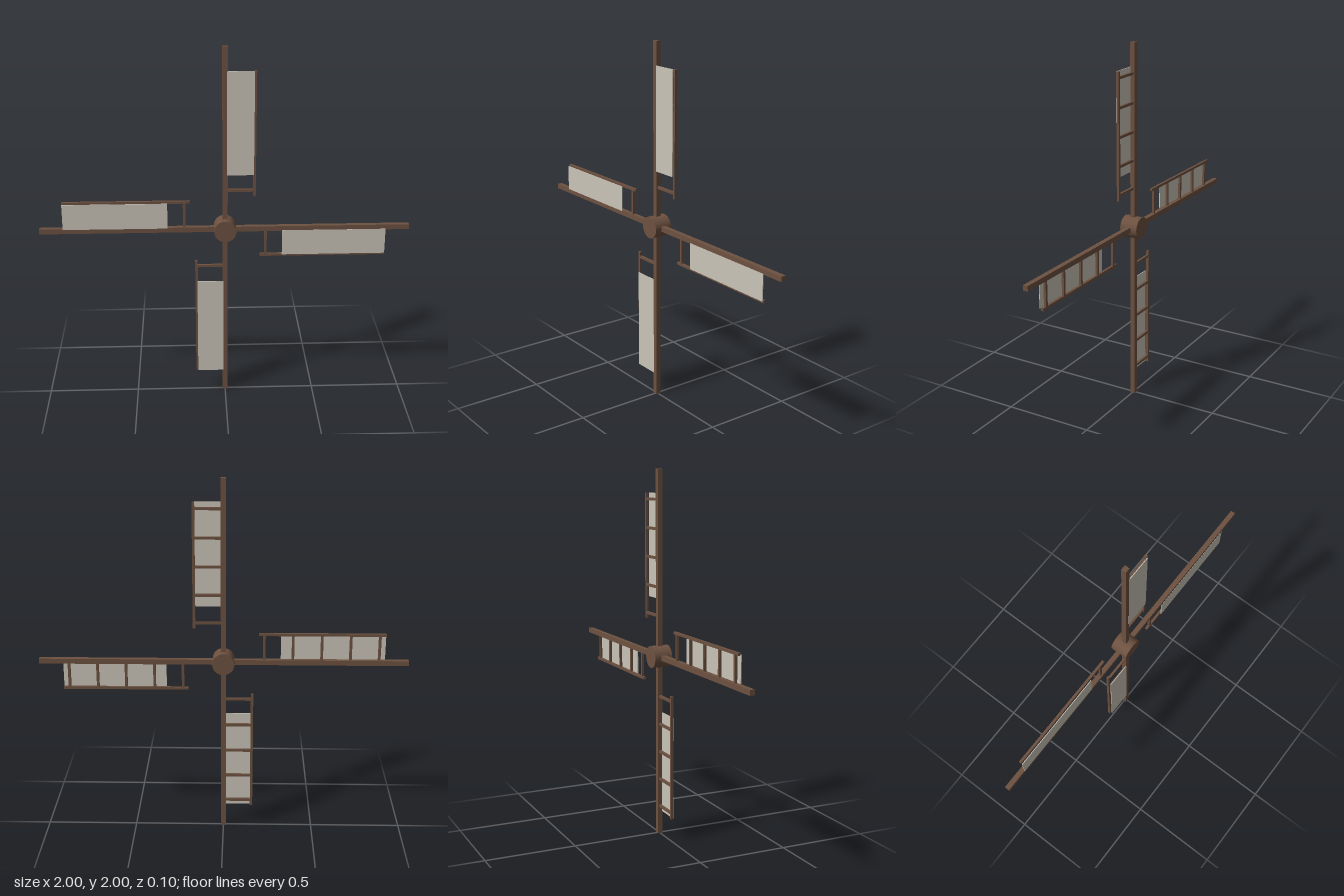
import * as THREE from 'three';

const HUB_Y = 1;

export function createModel() {
  const wood = new THREE.MeshStandardMaterial({ color: 0x6d5140 });
  wood.name = 'brownWood';
  const canvas = new THREE.MeshStandardMaterial({ color: 0xcac4b9 });
  canvas.name = 'paleCanvas';

  const model = new THREE.Group();
  model.name = 'windmillSails';

  // Box given by its extents in x and y, centred on depth z
  const bar = (name, material, x0, x1, y0, y1, depth, z = 0) => {
    const mesh = new THREE.Mesh(new THREE.BoxGeometry(x1 - x0, y1 - y0, depth), material);
    mesh.position.set((x0 + x1) / 2, (y0 + y1) / 2, z);
    mesh.name = name;
    return mesh;
  };

  // Round hub, axis towards the front
  const hub = new THREE.Mesh(new THREE.CylinderGeometry(0.06, 0.06, 0.1, 24), wood);
  hub.rotation.x = Math.PI / 2;
  hub.position.y = HUB_Y;
  hub.name = 'hub';
  model.add(hub);

  // Four identical sails, each a quarter turn from the last
  for (let i = 0; i < 4; i++) {
    const sail = new THREE.Group();
    sail.name = `sail${i + 1}`;
    sail.position.y = HUB_Y;
    sail.rotation.z = (-i * Math.PI) / 2;

    sail.add(bar('spar', wood, -0.014, 0.014, 0.02, 1, 0.027));
    sail.add(bar('outerRail', wood, 0.15, 0.164, 0.19, 0.873, 0.014));

    // Ladder of cross bars behind the cloth
    for (let r = 0; r < 5; r++) {
      const y = 0.22 + r * 0.155;
      sail.add(bar('crossBar', wood, 0.01, 0.155, y - 0.007, y + 0.007, 0.013));
    }

    // Cloth laid over the front of the frame
    sail.add(bar('cloth', canvas, 0.01, 0.153, 0.31, 0.873, 0.004, 0.0125));
    model.add(sail);
  }
  return model;
}
